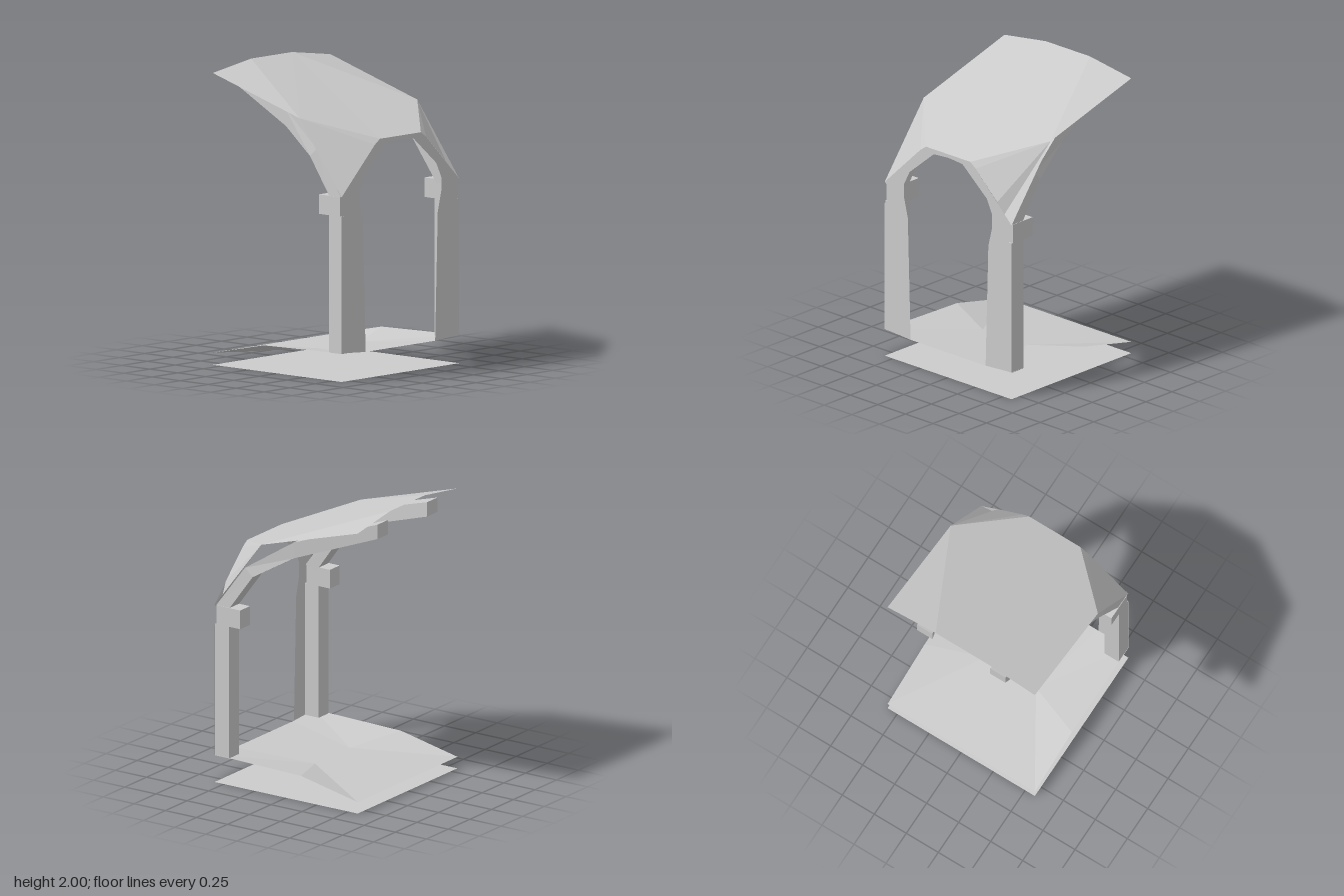
import * as THREE from 'three';

const H = 0.575; // half width of the square plan
const solid = new THREE.MeshStandardMaterial({ color: 0xcccccc, flatShading: true });
const thin = new THREE.MeshStandardMaterial({ color: 0xcccccc, flatShading: true, side: THREE.DoubleSide });

// Faceted mesh from convex polygons, each a list of [x, y, z] corners
function facets(name, polygons, material = thin) {
  const v = [];
  for (const p of polygons)
    for (let i = 1; i < p.length - 1; i++) v.push(...p[0], ...p[i], ...p[i + 1]);
  const g = new THREE.BufferGeometry();
  g.setAttribute('position', new THREE.Float32BufferAttribute(v, 3));
  g.computeVertexNormals();
  const mesh = new THREE.Mesh(g, material);
  mesh.name = name;
  return mesh;
}

// Mirror polygons to the given side of z, keeping the winding
const toSide = (polygons, s) =>
  polygons.map((p) => (s > 0 ? p : p.map(([x, y, z]) => [x, y, -z]).reverse()));

// Box given by its minimum and maximum corners
function box(name, a, b) {
  const mesh = new THREE.Mesh(new THREE.BoxGeometry(b[0] - a[0], b[1] - a[1], b[2] - a[2]), solid);
  mesh.position.set((a[0] + b[0]) / 2, (a[1] + b[1]) / 2, (a[2] + b[2]) / 2);
  mesh.name = name;
  return mesh;
}

// Bent rib: box sections [xTop, yTop, xBottom, yBottom, zInner, zOuter]
function rib(name, sections, s) {
  const rings = sections.map(([xt, yt, xb, yb, zi, zo]) => [
    [xt, yt, zi], [xt, yt, zo], [xb, yb, zo], [xb, yb, zi],
  ]);
  const polygons = [rings[0].slice().reverse(), rings[rings.length - 1]];
  for (let i = 0; i < rings.length - 1; i++)
    for (let j = 0; j < 4; j++) {
      const k = (j + 1) % 4;
      polygons.push([rings[i][j], rings[i][k], rings[i + 1][k], rings[i + 1][j]]);
    }
  return facets(name, toSide(polygons, s), thin);
}

// Sloping roof: flat hexagon, raised rear corners, drooping corners at the arch
function roof() {
  const polys = [[
    [-H, 2, -0.2], [-H, 2, 0.2], [0.2, 1.72, H], [H, 1.58, 0.2], [H, 1.58, -0.2], [0.2, 1.72, -H],
  ]];
  const edges = {
    1: [[H, 1.58, 0.2], [H, 1.545, 0.25], [H, 1.23, H]],
    '-1': [[H, 1.58, 0.2], [H, 1.545, 0.25], [H, 1.36, 0.445], [H, 1.26, 0.49], [H, 1.23, H]],
  };
  for (const s of [1, -1]) {
    const side = [[[-H, 2, 0.2], [-H, 1.945, H], [0.2, 1.72, H]]];
    const e = edges[s];
    for (let i = 0; i < e.length - 1; i++) side.push([[0.2, 1.72, H], e[i + 1], e[i]]);
    polys.push(...toSide(side, s));
  }
  return facets('roof', polys);
}

// Gently creased floor sheet, raised along both sides
function floorSheet() {
  const A = [-H, 0.08, H], B = [-0.12, 0.175, H], C = [H, 0.19, H];
  const D = [H, 0.175, 0.33], I = [0.03, 0.13, 0.2];
  const m = ([x, y, z]) => [x, y, -z];
  const polys = [[m(A), A, I, m(I)], [m(I), I, D, m(D)]];
  for (const s of [1, -1]) polys.push(...toSide([[A, B, I], [B, C, I], [C, D, I]], s));
  return facets('floor', polys);
}

// Thin arch wall: strips between the outer and inner outline, [y, z] pairs
function archWall() {
  const outer = [[0.19, H], [1.08, H], [1.17, 0.49], [1.23, H], [1.4, 0.4], [1.545, 0.25], [1.58, 0.2], [1.58, 0]];
  const inner = [[0.175, 0.34], [1.03, 0.365], [1.17, 0.4], [1.26, 0.4], [1.36, 0.35], [1.545, 0.13], [1.55, 0.07], [1.555, 0]];
  const P = ([y, z]) => [H, y, z];
  const half = [];
  for (let i = 0; i < outer.length - 1; i++)
    half.push([P(outer[i]), P(inner[i]), P(inner[i + 1]), P(outer[i + 1])]);
  return facets('archWall', [1, -1].flatMap((s) => toSide(half, s)));
}

export function createModel() {
  const group = new THREE.Group();
  group.name = 'shelter';

  // Flat base sheet
  group.add(facets('base', [[[-H, 0, -H], [-H, 0, H], [H, 0, H], [H, 0, -H]]]));
  group.add(floorSheet(), archWall(), roof());

  const ribSections = [
    [-H, 1.945, -H, 1.845, 0.225, 0.345],
    [0, 1.75, 0, 1.64, 0.38, 0.49],
    [0.34, 1.53, 0.28, 1.475, 0.45, 0.56],
    [0.565, 1.23, 0.48, 1.2, 0.46, 0.57],
  ];
  for (const s of [1, -1]) {
    const label = s > 0 ? 'front' : 'rear';
    const zMin = s > 0 ? 0.46 : -0.573;
    const zMax = s > 0 ? 0.573 : -0.46;
    // Column, its bracket and the roof rib
    group.add(box(label + 'Column', [0.46, 0.185, zMin], [0.571, 1.1, zMax]));
    group.add(box(label + 'Bracket', [0.37, 1.1, zMin], [0.56, 1.23, zMax]));
    group.add(rib(label + 'Rib', ribSections, s));
  }
  return group;
}
